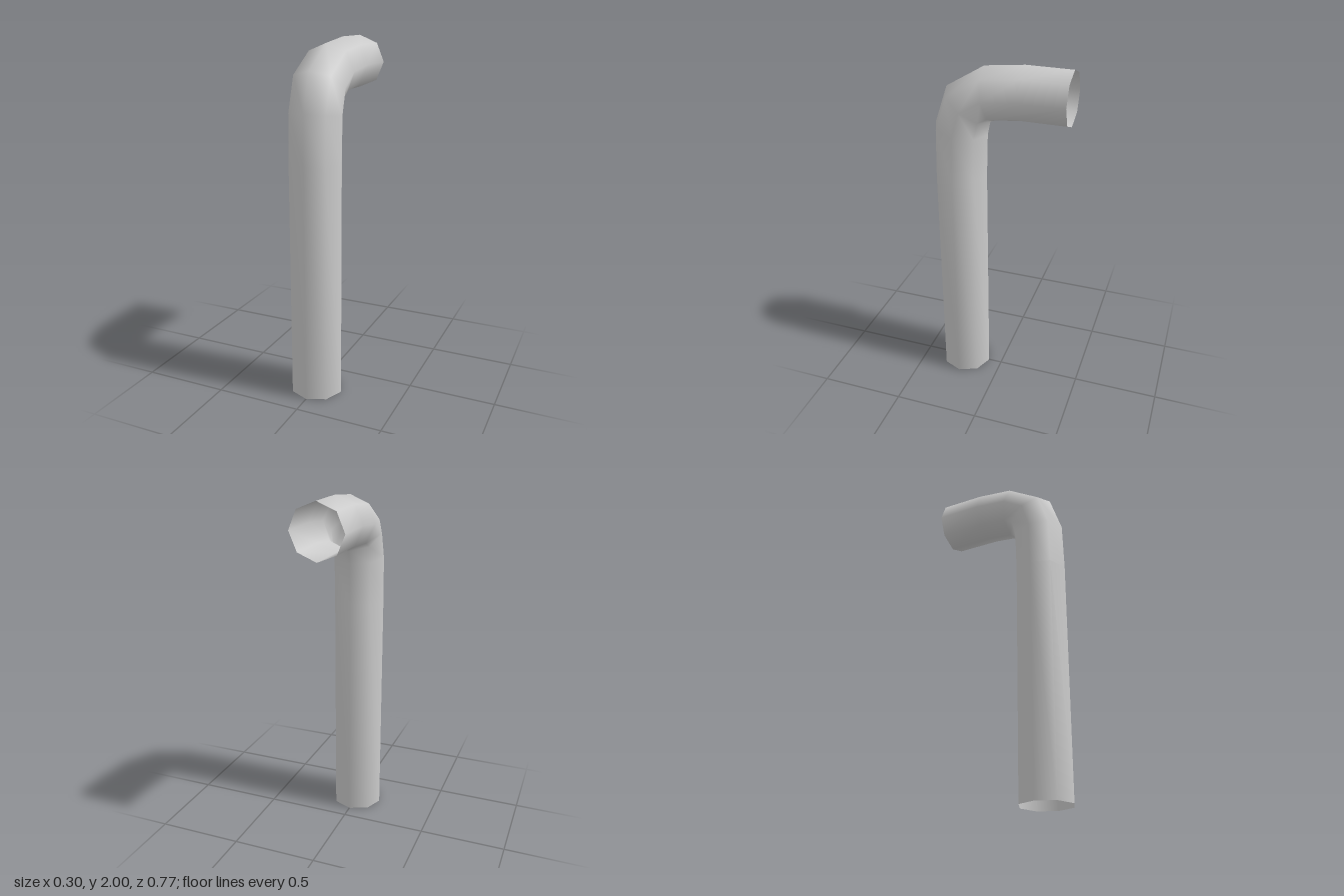
import * as THREE from 'three';

const SIDES = 8;
const RADIUS = 0.152;

// Stations along the pipe: [outer z, outer y, inner z, inner y]
const STATIONS = [
  [0.384, 0, 0.082, 0],
  [0.384, 1.36, 0.082, 1.35],
  [0.376, 1.635, 0.075, 1.595],
  [0.305, 1.845, 0.06, 1.67],
  [0.09, 1.975, 0.035, 1.682],
  [-0.13, 2, -0.12, 1.698],
  [-0.384, 2, -0.384, 1.698],
];

// Joins octagonal rings, each spanning from the outer to the inner side of the bend
function pipeGeometry() {
  const positions = [];
  const indices = [];
  STATIONS.forEach(([oz, oy, iz, iy], i) => {
    for (let j = 0; j < SIDES; j++) {
      const a = (j / SIDES) * Math.PI * 2;
      const c = Math.cos(a) / 2;
      positions.push(
        Math.sin(a) * RADIUS,
        (oy + iy) / 2 + c * (oy - iy),
        (oz + iz) / 2 + c * (oz - iz),
      );
      if (i < STATIONS.length - 1) {
        const p = i * SIDES + j;
        const q = i * SIDES + ((j + 1) % SIDES);
        indices.push(p, q, p + SIDES, q, q + SIDES, p + SIDES);
      }
    }
  });
  const geometry = new THREE.BufferGeometry();
  geometry.setAttribute('position', new THREE.Float32BufferAttribute(positions, 3));
  geometry.setIndex(indices);
  geometry.computeVertexNormals();
  return geometry;
}

export function createModel() {
  const group = new THREE.Group();
  group.name = 'bentPipe';
  // Open-ended thin pipe, visible inside and out
  const material = new THREE.MeshStandardMaterial({ color: 0xcccccc, side: THREE.DoubleSide });
  const pipe = new THREE.Mesh(pipeGeometry(), material);
  pipe.name = 'pipe';
  group.add(pipe);
  return group;
}
